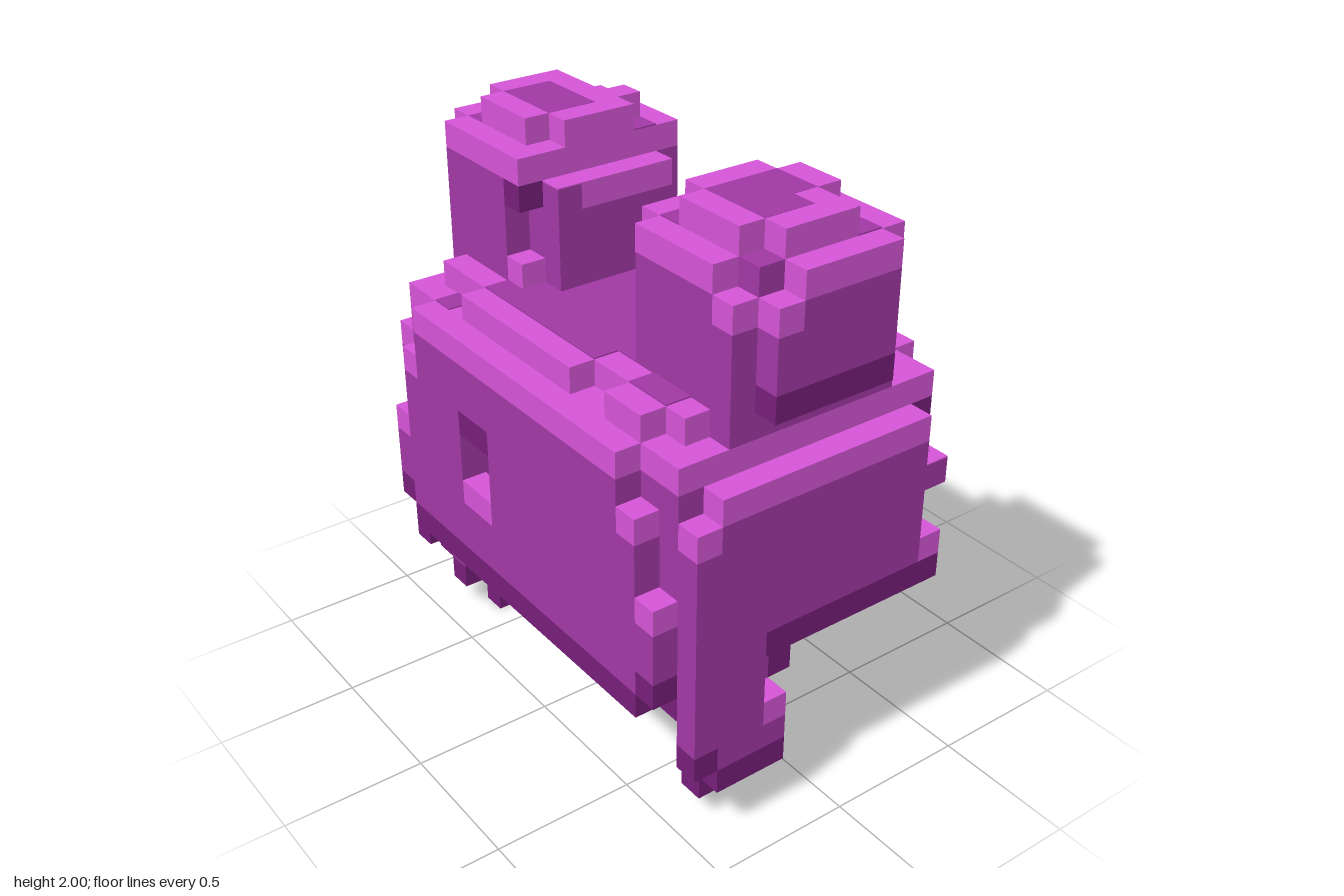
import * as THREE from 'three';

const U = 1 / 11; // edge of one block
const T = 0.05;   // thickness of painted plates, in blocks

function makeMaterial(name, hex) {
  const m = new THREE.MeshStandardMaterial({ color: hex });
  m.name = name;
  return m;
}

export function createModel() {
  const light = makeMaterial('light purple', 0xd455d6);
  const mid = makeMaterial('purple', 0xa038a4);
  const dark = makeMaterial('dark purple', 0x751e78);
  const yellow = makeMaterial('ochre', 0xa4842c);

  const model = new THREE.Group();
  model.name = 'blockBody';

  function part(name) {
    const g = new THREE.Group();
    g.name = name;
    model.add(g);
    return g;
  }
  // Box between block-grid limits; side -1 mirrors it across x
  function box(g, mat, x0, x1, y0, y1, z0, z1, side = 1) {
    const geo = new THREE.BoxGeometry((x1 - x0) * U, (y1 - y0) * U, (z1 - z0) * U);
    const mesh = new THREE.Mesh(geo, mat);
    mesh.position.set(side * (x0 + x1) / 2 * U, (y0 + y1) / 2 * U, (z0 + z1) / 2 * U);
    mesh.name = g.name + 'Block';
    g.add(mesh);
  }

  // Front panel with a square opening
  const front = part('frontPanel');
  box(front, dark, -7.5, 7.5, 5, 6, 5.5, 6.5);
  box(front, mid, -6.5, -3.5, 6, 14, 5.5, 6.5);
  box(front, mid, -1.5, 6.5, 6, 14, 5.5, 6.5);
  box(front, mid, -3.5, -1.5, 6, 8, 5.5, 6.5);
  box(front, light, -3.5, -1.5, 8, 9, 5.5, 6.5);
  box(front, dark, -3.5, -1.5, 11, 12, 5.5, 6.5);
  box(front, mid, -3.5, -1.5, 12, 14, 5.5, 6.5);
  box(front, light, -6.5, 6.5, 14, 15, 5.5, 6.5);

  for (const s of [1, -1]) {
    const isLeft = s > 0;
    const side = isLeft ? 'left' : 'right';

    // Stepped front corners
    const corner = part(side + 'Corner');
    box(corner, mid, 6.5, 7.5, 6, 12, 5.5, 6.5, s);
    box(corner, light, 6.5, 7.5, 12, 13, 5.5, 6.5, s);
    box(corner, dark, 7.5, 8.5, 6, 7, 5.5, 6.5, s);
    box(corner, mid, 7.5, 8.5, 7, 9, 5.5, 6.5, s);
    box(corner, light, 7.5, 8.5, 9, 10, 5.5, 6.5, s);
    box(corner, dark, 7.5, 8.5, 5, 6, 4.5, 5.5, s);
    box(corner, mid, 7.5, 8.5, 6, 13, 4.5, 5.5, s);
    box(corner, mid, 6.5, 8.5, 13, 14, 4.5, 5.5, s);

    // Side wall, with a gap in the rear edge on the left
    const wall = part(side + 'Wall');
    box(wall, light, 8.5, 9.5, 13, 14, -4.5, 4.5, s);
    box(wall, mid, 8.5, 9.5, 8, 13, -4.5, 4.5, s);
    box(wall, mid, 8.5, 9.5, 8, 12, 4.5, 5.5, s);
    box(wall, light, 8.5, 9.5, 12, 13, 4.5, 5.5, s);
    box(wall, dark, 8.5, 9.5, 7, 8, -5.5, 2.5, s);
    box(wall, light, 8.5, 9.5, 8, 9, -5.5, -4.5, s);
    box(wall, mid, 8.5, 9.5, isLeft ? 11 : 9, 12, -5.5, -4.5, s);
    box(wall, light, 8.5, 9.5, 12, 12 + T, -5.5, -4.5, s);
    box(wall, dark, 7.5, 8.5, 13, 14, -5.5, 4.5, s);

    // Front leg, inner brace and stepped foot
    const leg = part(side + 'Leg');
    box(leg, mid, 8.5, 9.5, 4, 8, 2.5, 5.5, s);
    box(leg, dark, 8.5, 9.5, 3, 4, 4.5, 5.5, s);
    box(leg, mid, 8.5, 9.5, 3, 4, 1.5, 4.5, s);
    box(leg, light, 8.5, 9.5, 4, 5, 1.5, 2.5, s);
    box(leg, mid, 7.5, 8.5, 5, 7, 1.5, 4.5, s);
    box(leg, dark, 7.5, 8.5, 5, 6, 0.5, 1.5, s);
    box(leg, mid, 7.5, 8.5, 6, 7, 0.5, 1.5, s);
    box(leg, light, 7.5, 8.5, 7, 7 + T, 0.5, 2.5, s);
    box(leg, dark, 8.5, 9.5, 2, 3, 1.5, 4.5, s);
    box(leg, dark, 7.5, 8.5, 1, 2, 1.5, 4.5, s);
    box(leg, mid, 7.5, 8.5, 2, 3, 1.5, 4.5, s);
    box(leg, light, 7.5, 8.5, 3, 4, 1.5, 3.5, s);
    box(leg, dark, 6.5, 7.5, 0, 1, 1.5, 3.5, s);
    box(leg, light, 6.5, 7.5, 1, 2, 1.5, 3.5, s);

    // Tower body
    const tower = part(side + 'Tower');
    box(tower, mid, 4.5, 7.5, 15, 20, -3.5, 3.5, s);
    box(tower, mid, 7.5, 8.5, 15, 19, -3.5, 3.5, s);
    box(tower, mid, 7.5, 8.5, 19, 20, -3.5, 2.5, s);
    box(tower, isLeft ? light : mid, 7.5, 8.5, 19, 20, 2.5, 3.5, s);
    box(tower, mid, 3.5, 4.5, 15, 20, -2.5, 2.5, s);
    box(tower, light, 3.5, 7.5, 20, 21, -3.5, 3.5, s);
    box(tower, light, 7.5, 8.5, 20, 21, -3.5, 1.5, s);
    box(tower, mid, 7.5, 8.5, 20, 21, 1.5, 2.5, s);
    // Front and back inner edges: one solid, one with a recess
    const solid = isLeft ? 2.5 : -3.5;
    const recess = isLeft ? -3.5 : 2.5;
    box(tower, mid, 3.5, 4.5, 15, 20, solid, solid + 1, s);
    box(tower, mid, 3.5, 4.5, 15, 16, recess, recess + 1, s);
    box(tower, light, 3.5, 4.5, 16, 17, recess, recess + 1, s);
    box(tower, dark, 3.5, 4.5, 19, 20, recess, recess + 1, s);
    // Outer bulge
    box(tower, dark, 8.5, 9.5, 16, 17, -2.5, 2.5, s);
    box(tower, mid, 8.5, 9.5, 17, 19, -2.5, 2.5, s);
    box(tower, mid, 8.5, 9.5, 19, 20, -2.5, 1.5, s);
    box(tower, isLeft ? light : mid, 8.5, 9.5, 19, 20, 1.5, 2.5, s);
    box(tower, light, 8.5, 9.5, 20, 21, -2.5, isLeft ? 1.5 : 2.5, s);
    // Inner bulge
    const top = isLeft ? 21 : 20;
    box(tower, mid, 2.5, 3.5, 15, top - 1, -2.5, 2.5, s);
    box(tower, light, 2.5, 3.5, top - 1, top, -2.5, 1.5, s);
    box(tower, isLeft ? light : mid, 2.5, 3.5, top - 1, top - T, 1.5, 2.5, s);
    box(tower, light, 2.5, 3.5, top - T, top, 1.5, 2.5, s);
    // Cap with painted notches beside it
    const capEnd = isLeft ? 6.5 : 5.5;
    box(tower, light, 3.5, 8.5, 21, 22, -1.5, 1.5, s);
    box(tower, light, 4.5, capEnd, 21, 22, -2.5, -1.5, s);
    box(tower, light, 4.5, 7.5, 21, 22, 1.5, 2.5, s);
    box(tower, mid, 3.5, 4.5, 21, 21 + T, -2.5, -1.5, s);
    box(tower, mid, capEnd, 8.5, 21, 21 + T, -2.5, -1.5, s);
    if (isLeft) {
      box(tower, mid, 3.5, 4.5, 21, 21 + T, 1.5, 2.5);
      box(tower, mid, 4.5, 6.5, 22, 22 + T / 5, -1.5, 1.5);
      box(tower, mid, 6.5, 7.5, 22, 22 + T / 5, -0.5, 1.5);
    } else {
      box(tower, light, 7.5, 8.5, 20, 21, 2.5, 3.5, s);
      box(tower, mid, 4.5, 7.5, 22, 22 + T / 5, -0.5, 1.5, s);
    }

    // Roof blocks behind the tower
    const ledge = part(side + 'Ledge');
    box(ledge, light, 3.5, 6.5, 15, 16, -5.5, -4.5, s);
    box(ledge, mid, 3.5, capEnd, 16, 16 + T, -4.5, -3.5, s);
  }

  // Roof slab, raised deck and painted top
  const roof = part('roof');
  box(roof, light, -8.5, 8.5, 14, 15, -5.5, 5.5);
  box(roof, light, -7.5, 7.5, 15, 16, -4.5, 4.5);
  box(roof, light, -4.5, 2.5, 15, 16, 4.5, 5.5);
  box(roof, light, 4.5, 6.5, 15, 16, 4.5, 5.5);
  box(roof, mid, -3.5, 3.5, 16, 16 + T, -3.5, -2.5);
  box(roof, mid, -2.5, 2.5, 16, 16 + T, -2.5, 2.5);
  box(roof, mid, -3.5, 3.5, 16, 16 + T, 2.5, 3.5);
  box(roof, mid, -4.5, 2.5, 16, 16 + T, 3.5, 4.5);
  box(roof, mid, 4.5, 6.5, 16, 16 + T, 3.5, 4.5);
  box(roof, mid, -7.5, -6.5, 16, 16 + T, -4.5, -3.5);
  box(roof, mid, -6.5, -5.5, 15, 15 + T, 4.5, 5.5);

  const rim = part('backRim');
  box(rim, light, -6.5, 6.5, 14, 15, -6.5, -5.5);
  box(rim, dark, -6.5, 6.5, 13, 14, -6.5, -5.5);
  box(rim, light, 6.5, 7.5, 13, 14, -6.5, -5.5);
  box(rim, light, -7.5, -6.5, 13, 14, -6.5, -5.5);
  box(rim, dark, -7.5, 7.5, 13, 14, -5.5, -4.5);

  // Ceiling and the ochre blocks hanging from it
  const ceiling = part('ceiling');
  box(ceiling, mid, -3.5, 3.5, 14 - T, 14, -4.5, 5.5);
  box(ceiling, dark, 3.5, 7.5, 14 - T, 14, -4.5, 4.5);
  box(ceiling, dark, -7.5, -3.5, 14 - T, 14, -4.5, 4.5);
  const studs = part('ceilingStuds');
  box(studs, yellow, -4.5, -3.5, 13, 14, -1.5, -0.5);
  box(studs, yellow, -3, -2, 13.9, 14, -1, 0);
  box(studs, yellow, 2.5, 3.5, 13.9, 14, -0.5, 0.5);
  box(studs, yellow, 3.5, 4.5, 13.5, 14, -0.5, 0.5);

  return model;
}
